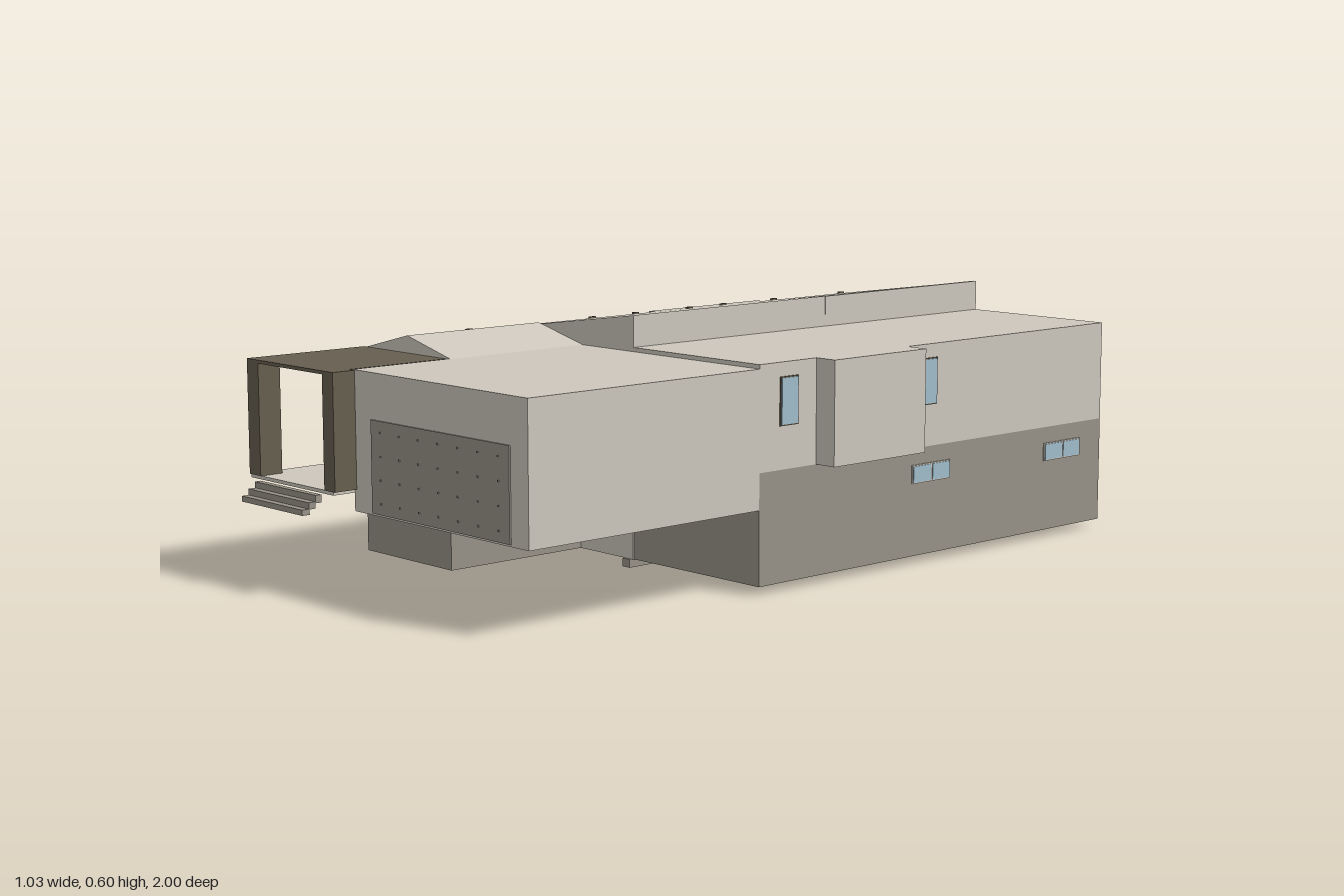
import * as THREE from 'three';

export function createModel() {
  const house = new THREE.Group();
  house.name = 'house';
  const mat = (name, color) => {
    const m = new THREE.MeshStandardMaterial({ color });
    m.name = name;
    return m;
  };
  const beige = mat('beige stucco', 0xcdc7bc);
  const taupe = mat('taupe masonry', 0x989287);
  const dark = mat('dark timber', 0x665f50);
  const glass = mat('window glass', 0xa0bcca);

  const add = (name, geometry, material) => {
    const mesh = new THREE.Mesh(geometry, material);
    mesh.name = name;
    house.add(mesh);
    return mesh;
  };
  // Box given by its extents on each axis
  const box = (name, m, x0, x1, y0, y1, z0, z1) => {
    const g = new THREE.BoxGeometry(x1 - x0, y1 - y0, z1 - z0);
    g.translate((x0 + x1) / 2, (y0 + y1) / 2, (z0 + z1) / 2);
    return add(name, g, m);
  };
  // Front outline extruded from z0 to z1
  const prism = (name, m, points, z0, z1) => {
    const shape = new THREE.Shape(points.map(p => new THREE.Vector2(p[0], p[1])));
    const g = new THREE.ExtrudeGeometry(shape, { depth: z1 - z0, bevelEnabled: false });
    g.translate(0, 0, z0);
    return add(name, g, m);
  };

  const L = -0.482, R = 0.458, BACK = -0.99, MID = 0.22;
  const roofY = x => 0.527 + (x - L) * 0.142;

  // Basement with its narrower front wing
  box('basement', taupe, L, R, 0.02, 0.28, BACK, MID);
  box('basementWing', taupe, L, -0.155, 0.02, 0.24, MID, 0.617);
  box('basementLightPanel', beige, -0.155, 0.035, 0.02, 0.195, MID, MID + 0.004);
  box('footing', taupe, 0.005, 0.03, 0, 0.02, 0.09, 0.23);

  // Upper floor: flat part, then the sloped roof with a sunken strip at the back
  box('mainFloor', beige, L, R, 0.28, 0.525, BACK, MID);
  const slope = x => [[L, 0.5], [x, 0.5], [x, roofY(x)], [L, roofY(L)]];
  prism('slopedRoofFront', beige, slope(0.035), -0.42, MID);
  prism('slopedRoofBack', beige, slope(-0.125), BACK, -0.42);
  box('parapet', beige, 0.026, 0.036, 0.5, 0.6, BACK, -0.42);
  box('leftBay', beige, -0.518, L, 0.28, 0.525, -0.72, -0.325);
  box('rightBay', beige, R, 0.516, 0.28, 0.525, -0.265, 0.04);

  // Garage
  box('garage', beige, -0.155, R, 0.195, 0.515, MID, 0.885);
  box('garageDoor', taupe, -0.085, 0.4, 0.2, 0.41, 0.885, 0.889);
  for (let i = 0; i < 7; i++) for (let j = 0; j < 4; j++) {
    const x = -0.05 + i * 0.069, y = 0.225 + j * 0.053;
    box('garageDoorStud', taupe, x - 0.002, x + 0.002, y - 0.002, y + 0.002, 0.889, 0.891);
  }

  // Entrance wing with a gable
  prism('entranceWing', beige,
    [[L, 0.24], [-0.155, 0.24], [-0.148, 0.515], [-0.312, 0.555], [L, 0.512]], MID, 0.617);

  // Porch
  box('porchFloor', beige, L, -0.155, 0.237, 0.245, 0.617, 0.943);
  box('porchRoof', dark, -0.485, -0.165, 0.506, 0.514, 0.615, 0.945);
  box('porchRoofEdge', dark, -0.165, -0.146, 0.506, 0.514, 0.886, 0.945);
  box('leftPost', dark, -0.187, -0.146, 0.245, 0.512, 0.886, 0.945);
  box('rightPost', dark, -0.485, -0.44, 0.245, 0.512, 0.886, 0.945);
  for (let i = 0; i < 3; i++)
    box('step', taupe, -0.436, -0.195, 0.193 + i * 0.012, 0.206 + i * 0.0145,
      0.98 - i * 0.016, 1 - i * 0.018);

  // Front door with four panes, and its sidelight
  box('frontDoor', dark, -0.382, -0.286, 0.245, 0.454, 0.617, 0.622);
  for (let i = 0; i < 4; i++)
    box('doorPane', glass, -0.369, -0.299, 0.27 + i * 0.043, 0.302 + i * 0.043, 0.622, 0.624);
  box('sidelightFrame', dark, -0.285, -0.245, 0.26, 0.452, 0.617, 0.62);
  box('sidelight', glass, -0.282, -0.248, 0.264, 0.449, 0.62, 0.622);

  // Windows: a frame plate and a row of panes on a side wall (s = +1 or -1) or the back wall
  const sideWindow = (s, z0, z1, y0, y1, frame, panes) => {
    const w = s > 0 ? R : L;
    const plate = (name, m, a, b, c, d, t) =>
      box(name, m, Math.min(w, w + s * t), Math.max(w, w + s * t), c, d, a, b);
    plate('sideWindowFrame', frame, z0, z1, y0, y1, 0.003);
    const step = (z1 - z0) / panes;
    for (let i = 0; i < panes; i++)
      plate('sideWindowPane', glass, z0 + i * step + 0.003, z0 + (i + 1) * step - 0.003,
        y0 + 0.003, y1 - 0.003, 0.005);
  };
  sideWindow(1, 0.1, 0.157, 0.38, 0.492, dark, 1);
  sideWindow(1, -0.367, -0.313, 0.38, 0.492, dark, 1);
  sideWindow(1, -0.417, -0.283, 0.195, 0.24, beige, 2);
  sideWindow(1, -0.907, -0.768, 0.195, 0.24, beige, 2);
  sideWindow(-1, -0.28, -0.22, 0.38, 0.492, dark, 1);
  sideWindow(-1, 0.0, 0.06, 0.38, 0.492, dark, 1);
  sideWindow(-1, -0.89, -0.77, 0.195, 0.24, beige, 2);

  const backWindow = (x0, x1, y0, y1, panes) => {
    box('backWindowFrame', dark, x0, x1, y0, y1, BACK - 0.003, BACK);
    const step = (x1 - x0) / panes;
    for (let i = 0; i < panes; i++)
      box('backWindowPane', glass, x0 + i * step + 0.004, x0 + (i + 1) * step - 0.004,
        y0 + 0.004, y1 - 0.004, BACK - 0.005, BACK - 0.003);
  };
  backWindow(0.157, 0.338, 0.375, 0.492, 2);
  backWindow(-0.048, 0.01, 0.425, 0.492, 1);
  backWindow(-0.375, -0.225, 0.285, 0.492, 2);

  // Railing across the back door
  box('railTop', dark, -0.375, -0.225, 0.366, 0.371, -1, -0.994);
  box('railBottom', dark, -0.375, -0.225, 0.288, 0.293, -1, -0.994);
  for (let i = 0; i < 8; i++) {
    const x = -0.373 + i * 0.0208;
    box('baluster', dark, x - 0.002, x + 0.002, 0.29, 0.368, -0.999, -0.995);
  }

  // Small roof vents
  for (const [x, z] of [[-0.335, -0.86], [-0.377, -0.645], [-0.373, -0.455],
    [-0.335, -0.3], [-0.335, -0.115], [-0.34, 0.025], [-0.33, 0.42]])
    box('roofVent', dark, x - 0.004, x + 0.004, 0.53, roofY(x) + 0.005, z - 0.009, z + 0.009);

  return house;
}
